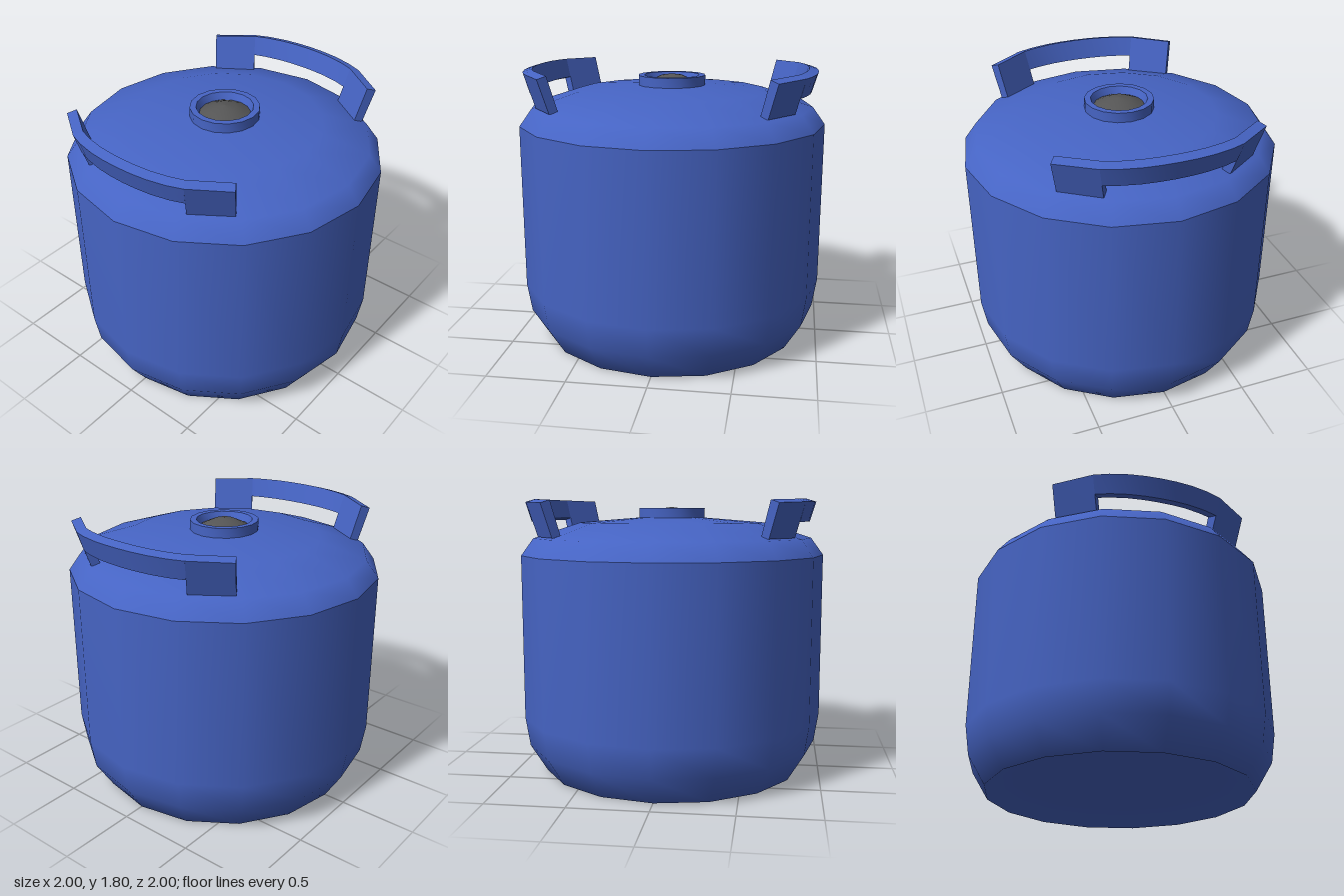
import * as THREE from 'three';
import { toCreasedNormals } from 'three/addons/utils/BufferGeometryUtils.js';

const SIDES = 16;

function lathe(profile) {
  return new THREE.LatheGeometry(profile.map(([r, y]) => new THREE.Vector2(r, y)), SIDES);
}

// Solid swept through a list of four-cornered sections, capped at both ends
function loft(sections) {
  const pos = [];
  const quad = (a, b, c, d) => [a, b, c, a, c, d].forEach((p) => pos.push(...p));
  for (let i = 0; i < sections.length - 1; i++) {
    const s = sections[i], t = sections[i + 1];
    for (let k = 0; k < 4; k++) {
      const n = (k + 1) % 4;
      quad(s[k], s[n], t[n], t[k]);
    }
  }
  const first = sections[0], last = sections[sections.length - 1];
  quad(first[3], first[2], first[1], first[0]);
  quad(last[0], last[1], last[2], last[3]);
  const g = new THREE.BufferGeometry();
  g.setAttribute('position', new THREE.Float32BufferAttribute(pos, 3));
  return toCreasedNormals(g, 0.5);
}

// Upright plate section at plan point (x, z), leaning out along the given angle
function section([x, z, angle], bottom, top) {
  const nx = Math.cos(angle), nz = Math.sin(angle);
  const lean = 0.3, thick = 0.06, base = 1.555;
  const at = (y, out, drop) => {
    const d = (y - base) * lean + out;
    return [x + nx * d, y - drop, z + nz * d];
  };
  return [at(bottom, 0, 0), at(top, 0, 0), at(top, thick, 0.018), at(bottom, thick, bottom > base ? 0.015 : 0)];
}

export function createModel() {
  const blue = new THREE.MeshStandardMaterial({ color: 0x4664c4 });
  blue.name = 'blue paint';
  const grey = new THREE.MeshStandardMaterial({ color: 0x555555 });
  grey.name = 'grey metal';

  const model = new THREE.Group();
  model.name = 'gasCylinder';
  const add = (parent, name, geometry, material) => {
    const mesh = new THREE.Mesh(geometry, material);
    mesh.name = name;
    parent.add(mesh);
  };

  // Wall with rounded foot and hollow underside
  add(model, 'body', lathe([
    [0, 0.12], [0.55, 0.11], [0.73, 0.08], [0.86, 0], [0.97, 0.18], [1, 0.37], [1, 1.435],
  ]), blue);

  // Bevelled shoulder and shallow domed top
  add(model, 'shoulder', lathe([
    [1, 1.435], [0.92, 1.545], [0.62, 1.643], [0.22, 1.675], [0, 1.68],
  ]), blue);

  // Valve collar and the dome inside it
  add(model, 'valveCollar', toCreasedNormals(lathe([
    [0.22, 1.65], [0.22, 1.738], [0.18, 1.738], [0.155, 1.68],
  ]), 0.7), blue);
  add(model, 'valve', lathe([
    [0.165, 1.69], [0.12, 1.712], [0.07, 1.735], [0, 1.745],
  ]), grey);

  // Plan line of a handle: x, z and outward angle
  const legEnd = [0.605, 0.575, 0.61];
  const legInner = [0.76, 0.35, 0.61];
  const half = [legInner, [0.782, 0.28, 0.38], [0.803, 0.18, 0.2], [0.812, 0.09, 0.09]];
  const mirror = ([x, z, a]) => [x, -z, -a];
  const plan = [...half, [0.815, 0, 0], ...half.map(mirror).reverse()];
  const topAt = (z) => 1.796 - 0.03 * z * z;

  for (const side of [1, -1]) {
    const handle = new THREE.Group();
    handle.name = side > 0 ? 'leftHandle' : 'rightHandle';
    handle.rotation.y = side > 0 ? 0 : Math.PI;
    const tall = (p) => section(p, 1.555, topAt(p[1]));
    add(handle, 'frontLeg', loft([legEnd, legInner].map(tall)), blue);
    add(handle, 'backLeg', loft([legInner, legEnd].map(mirror).map(tall)), blue);
    add(handle, 'grip', loft(plan.map((p) => section(p, 1.668, topAt(p[1])))), blue);
    model.add(handle);
  }
  return model;
}
